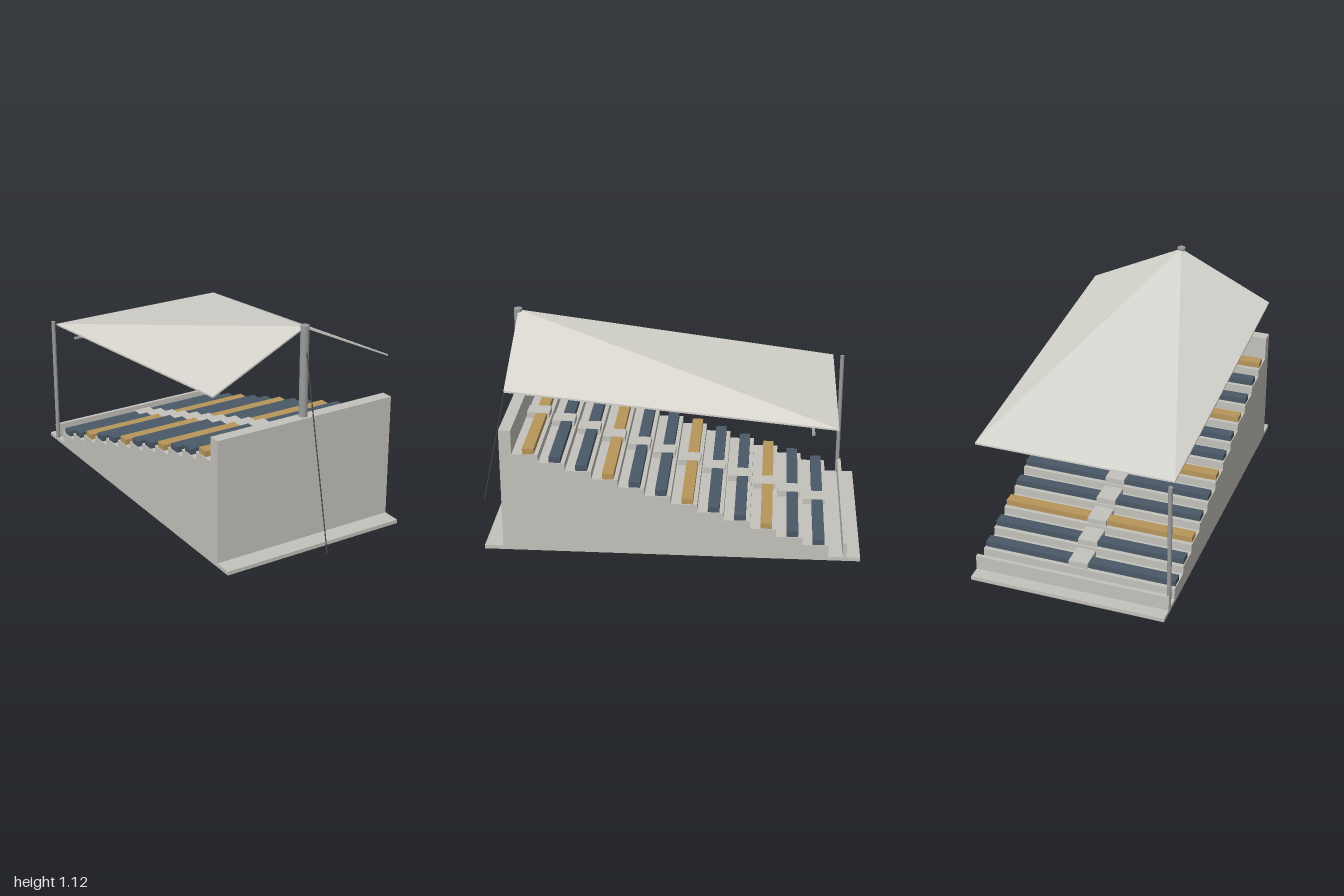
import * as THREE from 'three';

const mat = (name, color) => Object.assign(new THREE.MeshStandardMaterial({ color }), { name });
const concrete = mat('concrete', 0xc4c2bc);
const fabric = mat('roof fabric', 0xd6d4cd);
const metal = mat('grey metal', 0x9a9b9b);
const cableDark = mat('dark cable', 0x4a4a4a);
const blue = mat('blue seat', 0x4a5866);
const ochre = mat('ochre seat', 0xb8965a);

const HALF = 0.505;          // half width of the stand
const ROWS = 12, DEPTH = 0.132, RISE = 0.041;
const FRONT = -0.84, FIRST = 0.082, SLAB = 0.02;

function add(parent, name, geometry, material) {
  const mesh = new THREE.Mesh(geometry, material);
  mesh.name = name;
  parent.add(mesh);
  return mesh;
}

// Box given by its minimum and maximum on each axis
function box(parent, name, material, x0, x1, y0, y1, z0, z1) {
  const mesh = add(parent, name, new THREE.BoxGeometry(x1 - x0, y1 - y0, z1 - z0), material);
  mesh.position.set((x0 + x1) / 2, (y0 + y1) / 2, (z0 + z1) / 2);
  return mesh;
}

// Round bar between two points
function bar(parent, name, material, a, b, radius, sides = 16) {
  const dir = b.clone().sub(a);
  const mesh = add(parent, name, new THREE.CylinderGeometry(radius, radius, dir.length(), sides), material);
  mesh.position.copy(a).add(b).multiplyScalar(0.5);
  mesh.quaternion.setFromUnitVectors(new THREE.Vector3(0, 1, 0), dir.normalize());
  return mesh;
}

// Stepped terrace with the rear wall, as one side profile
function terraceGeometry() {
  const s = new THREE.Shape();
  s.moveTo(FRONT, SLAB);
  for (let i = 0; i < ROWS; i++) {
    const y = FIRST + i * RISE;
    s.lineTo(FRONT + i * DEPTH, y);
    s.lineTo(FRONT + (i + 1) * DEPTH, y);
  }
  const back = FRONT + ROWS * DEPTH;
  s.lineTo(back, 0.66);
  s.lineTo(0.805, 0.66);
  s.lineTo(0.805, SLAB);
  s.closePath();
  const g = new THREE.ExtrudeGeometry(s, { depth: HALF * 2, bevelEnabled: false });
  return g.rotateY(-Math.PI / 2).translate(HALF, 0, 0);
}

// Folded canopy: three facets from one apex, with a thin edge
function canopyGeometry() {
  const t = 0.009;
  const rim = [
    [0, 1.115, 0.768], [HALF, 0.872, 0.768], [HALF, 0.72, -0.865],
    [-HALF, 0.72, -0.865], [-HALF, 0.872, 0.768],
  ];
  const low = rim.map(([x, y, z]) => [x, y - t, z]);
  const p = [];
  for (let i = 1; i < 4; i++) {
    p.push(...rim[0], ...rim[i], ...rim[i + 1]);
    p.push(...low[0], ...low[i + 1], ...low[i]);
  }
  for (let i = 0; i < 5; i++) {
    const j = (i + 1) % 5;
    p.push(...low[i], ...low[j], ...rim[j], ...low[i], ...rim[j], ...rim[i]);
  }
  const g = new THREE.BufferGeometry();
  g.setAttribute('position', new THREE.Float32BufferAttribute(p, 3));
  g.computeVertexNormals();
  return g;
}

export function createModel() {
  const model = new THREE.Group();
  model.name = 'grandstand';
  const v = (x, y, z) => new THREE.Vector3(x, y, z);

  // Concrete structure
  box(model, 'baseSlab', concrete, -HALF, HALF, 0, SLAB, -1, 0.9);
  add(model, 'terrace', terraceGeometry(), concrete);
  box(model, 'frontParapet', concrete, -HALF, HALF, SLAB, 0.098, -0.932, -0.912);

  // Seat rows on both sides of the central aisle
  const seats = new THREE.Group();
  seats.name = 'seating';
  model.add(seats);
  for (let i = 0; i < ROWS; i++) {
    const y = FIRST + i * RISE, z = FRONT + i * DEPTH;
    const colour = i % 3 === 2 ? ochre : blue;
    box(seats, 'benchLeft', colour, 0.05, 0.5, y, y + 0.03, z + 0.021, z + 0.079);
    box(seats, 'benchRight', colour, -0.5, -0.05, y, y + 0.03, z + 0.021, z + 0.079);
    box(seats, 'aisleStep', concrete, -0.05, 0.05, y, y + 0.031, z + 0.008, z + 0.126);
  }

  // Roof, its supports and the stay cable
  add(model, 'canopy', canopyGeometry(), fabric);
  bar(model, 'rearMast', metal, v(0, 0.64, 0.77), v(0, 1.122, 0.77), 0.022);
  bar(model, 'frontPole', metal, v(-0.5, SLAB, -0.914), v(-0.5, 0.717, -0.914), 0.011, 12);
  bar(model, 'stayCable', cableDark, v(0, 1.0, 0.788), v(0, SLAB, 0.998), 0.003, 8);
  box(model, 'lightBar', metal, -0.458, 0.458, 0.66, 0.669, -0.752, -0.736);

  return model;
}
